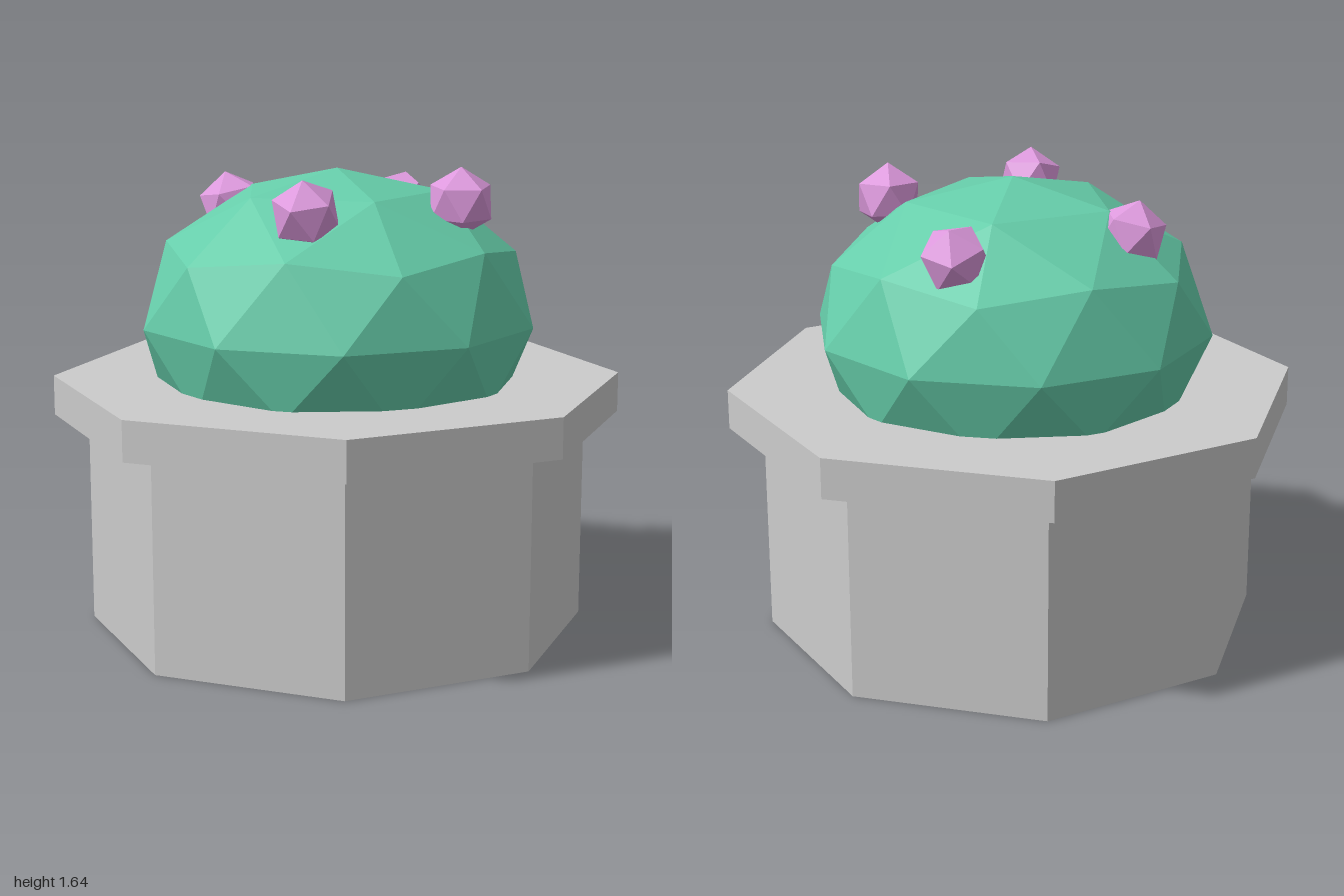
import * as THREE from 'three';

const material = (color) => new THREE.MeshStandardMaterial({ color, flatShading: true });

// Faceted ball with one corner pointing straight up
function facetedBall(radius, detail) {
  const geometry = new THREE.IcosahedronGeometry(radius, detail);
  geometry.rotateX(-Math.atan((1 + Math.sqrt(5)) / 2));
  geometry.rotateY(Math.PI / 2);
  return geometry;
}

export function createModel() {
  const model = new THREE.Group();
  model.name = 'pottedCactus';
  const grey = material(0xcccccc);
  const green = material(0x66cdaa);
  const pink = material(0xdd99dd);

  const add = (name, geometry, mat, x, y, z) => {
    const mesh = new THREE.Mesh(geometry, mat);
    mesh.name = name;
    mesh.position.set(x, y, z);
    model.add(mesh);
    return mesh;
  };

  // Eight-sided pot with a wider rim
  add('pot', new THREE.CylinderGeometry(0.88, 0.88, 0.75, 8), grey, 0, 0.375, 0);
  add('rim', new THREE.CylinderGeometry(1, 1, 0.14, 8), grey, 0, 0.82, 0);

  // Squashed cactus body, its lower part sunk into the pot
  const body = facetedBall(0.7, 1);
  body.scale(1, 0.757, 1);
  body.computeVertexNormals();
  add('cactusBody', body, green, 0, 1.09, 0);

  // Flowers: position, then tilt
  const flowerShape = facetedBall(0.12, 0);
  const flowers = [
    [0.415, 1.52, 0.175, 0.05, 0.3, 0],
    [-0.115, 1.51, 0.415, 0.25, 0.5, 0.1],
    [0.245, 1.45, -0.425, -0.4, 0.2, -0.2],
    [-0.37, 1.465, -0.25, -0.15, 0.6, 0.25],
  ];
  flowers.forEach(([x, y, z, rx, ry, rz], i) => {
    add(`flower${i + 1}`, flowerShape, pink, x, y, z).rotation.set(rx, ry, rz);
  });

  return model;
}
